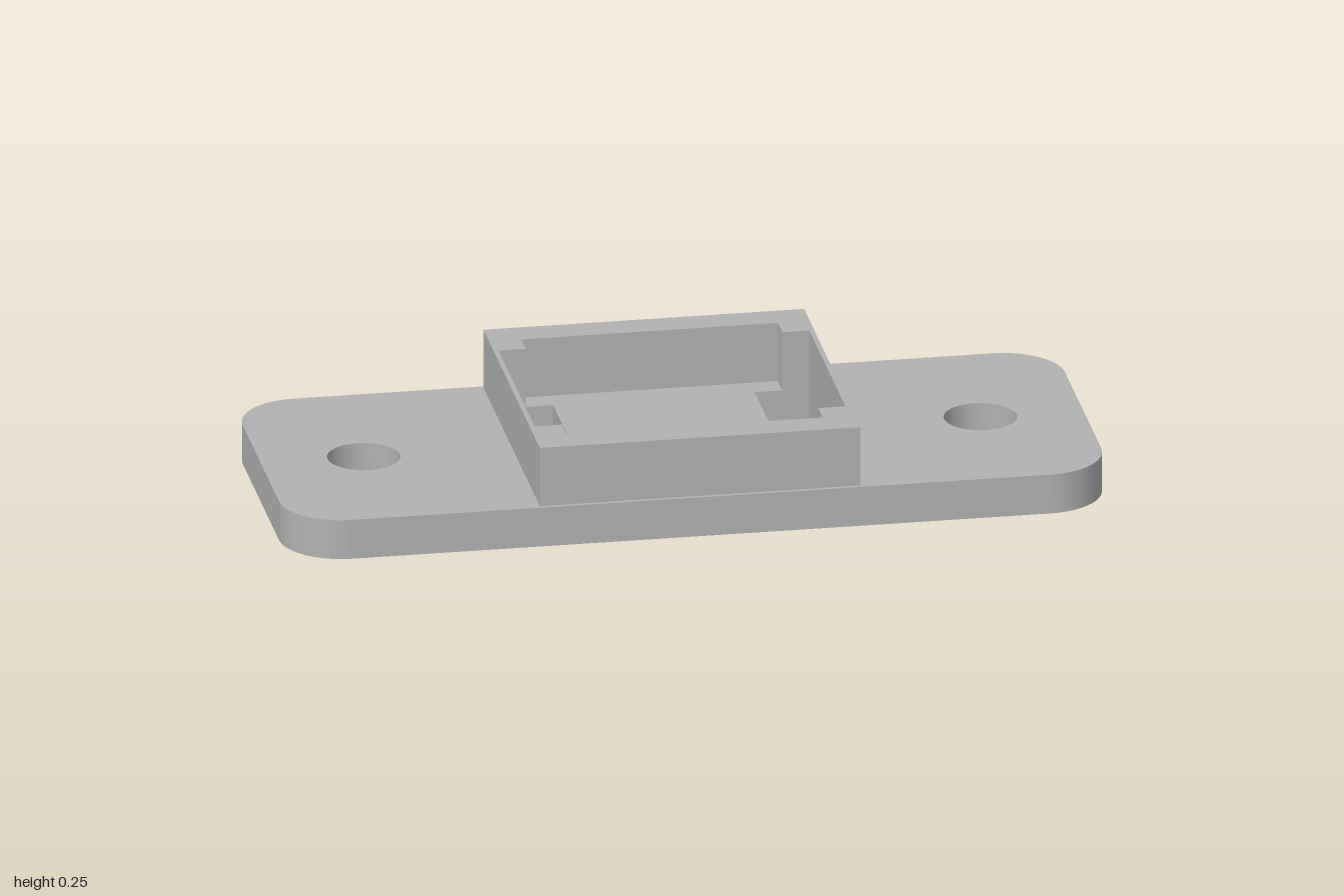
import * as THREE from 'three';
import { toCreasedNormals } from 'three/addons/utils/BufferGeometryUtils.js';

const polygon = (points, Type = THREE.Path) =>
  new Type().setFromPoints(points.map(([x, y]) => new THREE.Vector2(x, y))).closePath();

const rectangle = (x0, x1, z, Type) => polygon([[x0, -z], [x1, -z], [x1, z], [x0, z]], Type);

// Extrudes a plan-view shape upwards from height y
function slab(name, shape, y, height, material) {
  const raw = new THREE.ExtrudeGeometry(shape, { depth: height, bevelEnabled: false, curveSegments: 24 });
  raw.rotateX(-Math.PI / 2);
  const mesh = new THREE.Mesh(toCreasedNormals(raw, 0.5), material);
  mesh.name = name;
  mesh.position.y = y;
  return mesh;
}

export function createModel() {
  const grey = new THREE.MeshStandardMaterial({ color: 0xb2b2b2 });
  grey.name = 'grey';
  const group = new THREE.Group();
  group.name = 'mountingPlate';

  // Base plate with rounded corners
  const w = 1, d = 0.4, r = 0.15;
  const plate = new THREE.Shape();
  plate.absarc(w - r, d - r, r, 0, Math.PI / 2);
  plate.absarc(-w + r, d - r, r, Math.PI / 2, Math.PI);
  plate.absarc(-w + r, -d + r, r, Math.PI, Math.PI * 1.5);
  plate.absarc(w - r, -d + r, r, Math.PI * 1.5, Math.PI * 2);
  plate.closePath();

  // Screw holes and slots through the plate
  const slotIn = 0.245, slotOut = 0.378, slotZ = 0.25;
  for (const s of [-1, 1]) {
    plate.holes.push(new THREE.Path().absarc(s * 0.75, 0, 0.088, 0, Math.PI * 2));
    plate.holes.push(rectangle(s * slotIn, s * slotOut, slotZ));
  }
  group.add(slab('basePlate', plate, 0, 0.1, grey));

  // Square collar whose pocket widens at the slots
  const o = 0.39, p = 0.312;
  const collar = rectangle(-o, o, o, THREE.Shape);
  collar.holes.push(polygon([
    [-p, -p], [p, -p], [p, -slotZ], [slotOut, -slotZ], [slotOut, slotZ], [p, slotZ],
    [p, p], [-p, p], [-p, slotZ], [-slotOut, slotZ], [-slotOut, -slotZ], [-p, -slotZ],
  ]));
  group.add(slab('collar', collar, 0.1, 0.15, grey));

  return group;
}
